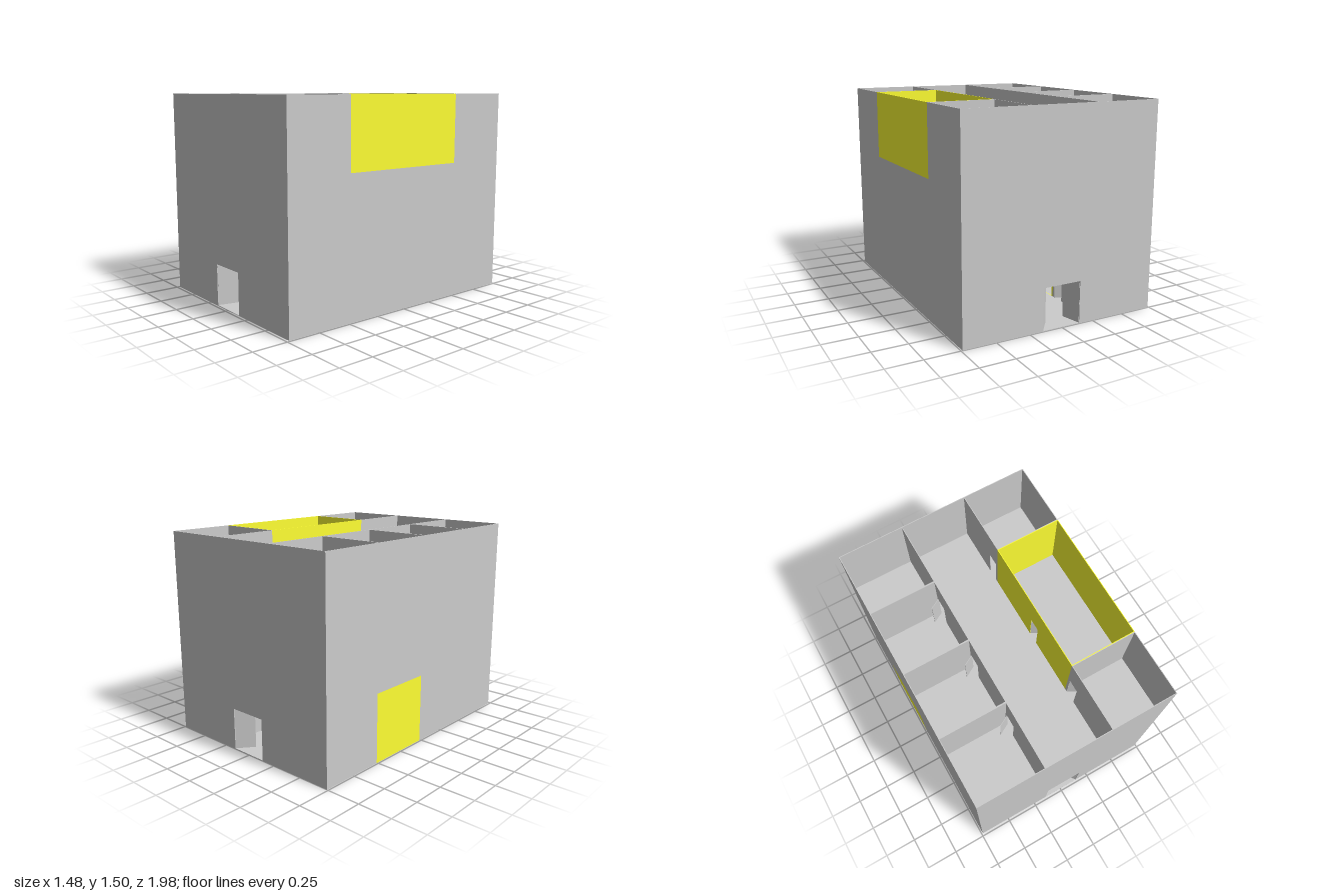
import * as THREE from 'three';

const GREY = new THREE.MeshStandardMaterial({ color: 0xcccccc });
const YELLOW = new THREE.MeshStandardMaterial({ color: 0xffff33 });

const X = 0.74, CORRIDOR = 0.25, BACK = -1, FRONT = 0.98;
const STOREY = 0.5, T = 0.005, STEP = (FRONT - BACK) / 4;

function add(parent, name, geometry, material = GREY) {
  const mesh = new THREE.Mesh(geometry, material);
  mesh.name = name;
  parent.add(mesh);
  return mesh;
}

// Axis-aligned block given by its two corners
function block(x0, x1, y0, y1, z0, z1) {
  return new THREE.BoxGeometry(x1 - x0, y1 - y0, z1 - z0)
    .translate((x0 + x1) / 2, (y0 + y1) / 2, (z0 + z1) / 2);
}

// Upright wall in the XY plane with one rectangular doorway
function wallWithDoor(a0, a1, y0, y1, d0, d1, doorTop) {
  const rect = (Type, l, r, b, t) => {
    const p = new Type();
    p.moveTo(l, b); p.lineTo(r, b); p.lineTo(r, t); p.lineTo(l, t); p.closePath();
    return p;
  };
  const shape = rect(THREE.Shape, a0, a1, y0, y1);
  shape.holes.push(rect(THREE.Path, d0, d1, y0 + T, doorTop));
  return new THREE.ExtrudeGeometry(shape, { depth: T, bevelEnabled: false });
}

// Open door leaf standing between a hinge point and its free edge
function leaf(parent, name, hx, hz, ex, ez, y0, height) {
  const dx = ex - hx, dz = ez - hz, length = Math.hypot(dx, dz);
  const door = add(parent, name, new THREE.BoxGeometry(length, height, 0.003).translate(length / 2, height / 2, 0));
  door.position.set(hx, y0, hz);
  door.rotation.y = Math.atan2(-dz, dx);
}

// One room: outer wall, corridor wall with doorway, partitions and open door
function room(parent, side, floor, z0, z1, hinge, swing, material) {
  const g = new THREE.Group();
  g.name = 'room';
  parent.add(g);
  const y0 = floor * STOREY, y1 = y0 + STOREY;
  const span = (a, b) => (side > 0 ? [a, b] : [-b, -a]);

  add(g, 'outerWall', block(...span(X - T, X), y0, y1, z0, z1), material);

  const free = hinge + swing * 0.09;
  const wall = wallWithDoor(z0, z1, y0, y1, Math.min(hinge, free), Math.max(hinge, free), y0 + 0.25);
  wall.rotateY(-Math.PI / 2).translate(side * CORRIDOR + T / 2, 0, 0);
  add(g, 'corridorWall', wall, material);

  const inner = span(CORRIDOR, X - T);
  if (z0 > BACK + 0.01) add(g, 'partition', block(...inner, y0, y1, z0, z0 + T), material);
  if (z1 < FRONT - 0.01) add(g, 'partition', block(...inner, y0, y1, z1 - T, z1), material);

  leaf(g, 'roomDoor', side * CORRIDOR, hinge, side * (CORRIDOR + 0.076), hinge + swing * 0.042, y0 + T, 0.245);
}

export function createModel() {
  const model = new THREE.Group();
  model.name = 'openTopBuilding';

  // Door hinge position and swing direction for the four rooms along a side
  const doors = [[-0.53, -1], [-0.49, 1], [0.008, 1], [0.506, 1]];

  for (let floor = 0; floor < 3; floor++) {
    const storey = new THREE.Group();
    storey.name = 'storey';
    model.add(storey);

    // Floor slab
    const y = floor * STOREY;
    add(storey, 'floorSlab', block(-X + T, X - T, y, y + T, BACK + T, FRONT - T));

    for (const side of [-1, 1]) {
      for (let i = 0; i < 4; i++) {
        const z0 = BACK + i * STEP;
        if (floor === 2 && side === 1 && (i === 1 || i === 2)) {
          // Large highlighted room takes the place of two ordinary ones
          if (i === 1) room(storey, side, floor, z0, z0 + 2 * STEP, -0.018, 1, YELLOW);
          continue;
        }
        const highlighted = floor === 0 && side === -1 && i === 1;
        room(storey, side, floor, z0, z0 + STEP, ...doors[i], highlighted ? YELLOW : GREY);
      }
    }
  }

  // Front and back walls, each with an entrance and two open leaves
  for (const [name, z, inward] of [['front', FRONT, -1], ['back', BACK, 1]]) {
    const wall = wallWithDoor(-X, X, 0, 3 * STOREY, -0.14, 0.148, 0.305);
    wall.translate(0, 0, z === FRONT ? z - T : z);
    add(model, name + 'Wall', wall);
    leaf(model, name + 'EntranceDoor', -0.14, z + inward * T, -0.105, z + inward * 0.15, T, 0.3);
    leaf(model, name + 'EntranceDoor', 0.148, z + inward * T, 0.06, z + inward * 0.116, T, 0.3);
  }
  return model;
}
